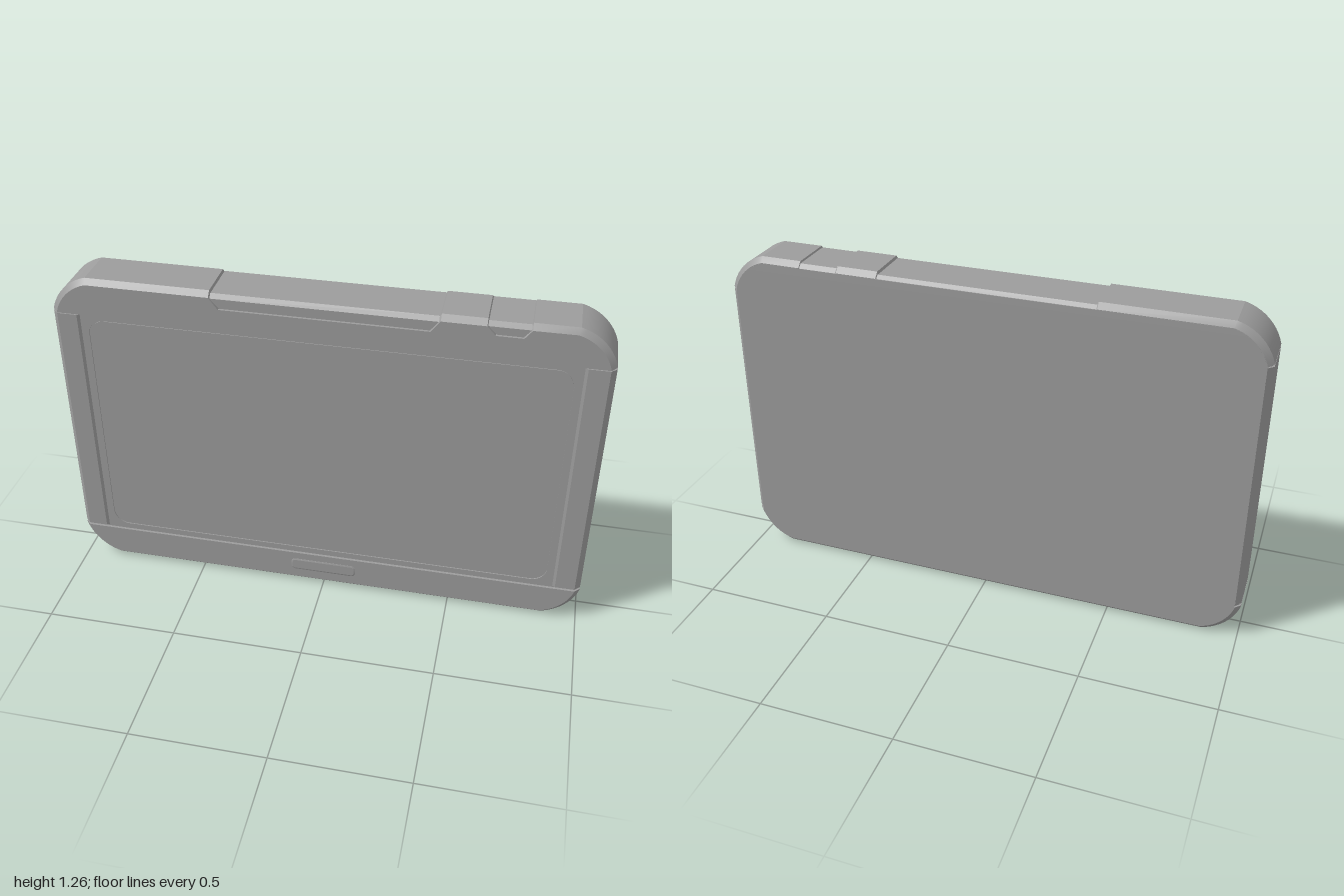
import * as THREE from 'three';
import { toCreasedNormals } from 'three/addons/utils/BufferGeometryUtils.js';

const TOP = 1.263, SEAM_LOW = 0.14, SEAM_HIGH = 1.13, DEPTH = 0.104, CHAMFER = 0.02;

// points of an arc, counter-clockwise between two angles in degrees
function arc(cx, cy, r, from, to, n = 10) {
  return Array.from({ length: n + 1 }, (_, i) => {
    const t = THREE.MathUtils.degToRad(from + (to - from) * i / n);
    return [cx + r * Math.cos(t), cy + r * Math.sin(t)];
  });
}

function roundRect(x0, x1, y0, y1, r) {
  return [...arc(x1 - r, y1 - r, r, 0, 90), ...arc(x0 + r, y1 - r, r, 90, 180),
    ...arc(x0 + r, y0 + r, r, 180, 270), ...arc(x1 - r, y0 + r, r, 270, 360)];
}

// flattened outer corner of the casing, quadrant 0 to 3, moved inwards by d
function corner(quadrant, d) {
  const r = 0.191, c = 0.1845;
  const x = quadrant === 0 || quadrant === 3 ? 1 - c : -1 + c;
  const y = quadrant < 2 ? TOP - c : c;
  return arc(x, y, r - d, quadrant * 90 + 15, quadrant * 90 + 75);
}

// solid through rings [z, inset]; outline(inset) gives counter-clockwise points
function loft(outline, rings) {
  const loops = rings.map(([z, d]) => outline(d).map(([x, y]) => new THREE.Vector3(x, y, z)));
  const pos = [];
  const tri = (...pts) => pts.forEach(p => pos.push(p.x, p.y, p.z));
  for (let i = 0; i < loops.length - 1; i++) {
    const lo = loops[i], hi = loops[i + 1];
    lo.forEach((a, j) => {
      const k = (j + 1) % lo.length;
      tri(a, lo[k], hi[k]);
      tri(a, hi[k], hi[j]);
    });
  }
  const first = loops[0], last = loops[loops.length - 1];
  const flat = l => l.map(p => new THREE.Vector2(p.x, p.y));
  for (const [a, b, c] of THREE.ShapeUtils.triangulateShape(flat(first), [])) tri(first[a], first[c], first[b]);
  for (const [a, b, c] of THREE.ShapeUtils.triangulateShape(flat(last), [])) tri(last[a], last[b], last[c]);
  const g = new THREE.BufferGeometry();
  g.setAttribute('position', new THREE.Float32BufferAttribute(pos, 3));
  return toCreasedNormals(g, 0.25);
}

const chamfered = (front, c = CHAMFER) => [[-DEPTH, c], [-DEPTH + c, 0], [front - c, 0], [front, c]];
const vectors = pts => pts.map(([x, y]) => new THREE.Vector2(x, y));

// sweep a mirrored plan profile of (x, z) points upwards from y0 to y1
function sweep(half, y0, y1) {
  const plan = [...half, ...half.map(([x, z]) => [-x, z]).reverse()];
  const g = new THREE.ExtrudeGeometry(new THREE.Shape(vectors(plan.map(([x, z]) => [x, -z]))),
    { depth: y1 - y0, bevelEnabled: false });
  return g.rotateX(-Math.PI / 2).translate(0, y0, 0);
}

// trapezoid notches in the top edge: upper x range, lower x range, floor, insert top
const notches = [
  { name: 'smallTopInsert', x0: 0.56, x1: 0.71, b0: 0.59, b1: 0.685, floor: 1.21, top: 1.257 },
  { name: 'wideTopInsert', x0: -0.405, x1: 0.405, b0: -0.372, b1: 0.372, floor: 1.2, top: 1.254 },
];

const topCap = d => [
  [-1 + d, SEAM_HIGH], [1 - d, SEAM_HIGH],
  ...corner(0, d),
  ...notches.flatMap(n => [[n.x1, TOP - d], [n.b1, n.floor], [n.b0, n.floor], [n.x0, TOP - d]]),
  ...corner(1, d),
];

const bottomCap = d => [
  [1 - d, SEAM_LOW], [-1 + d, SEAM_LOW], ...corner(2, d), ...corner(3, d),
];

export function createModel() {
  const model = new THREE.Group();
  const material = new THREE.MeshStandardMaterial({ color: 0x9c9c9c });
  const add = (name, geometry) => {
    const mesh = new THREE.Mesh(geometry, material);
    mesh.name = name;
    model.add(mesh);
  };

  // inner slab forming the continuous back
  add('backPlate', loft(d => [0, 1, 2, 3].flatMap(q => corner(q, d)),
    [[-DEPTH - 0.0005, 0.022], [0.083, 0.022]]));

  // end caps
  add('topCap', loft(topCap, chamfered(DEPTH)));
  add('bottomCap', loft(bottomCap, chamfered(DEPTH)));

  // lower inserts filling the notches of the top cap, with a fine gap around them
  const gap = 0.003;
  for (const n of notches) {
    add(n.name, loft(d => [[n.b0 + gap, n.floor + gap], [n.b1 - gap, n.floor + gap],
      [n.x1 - gap, n.top - d], [n.x0 + gap, n.top - d]], chamfered(0.1, 0.015)));
  }

  // shallow floor of the seams between body and caps
  add('seamFloor', sweep([[0.976, -0.098], [0.994, -0.08], [0.994, 0.08], [0.98, 0.094]], 0.13, 1.14));

  // middle body with raised side rails
  add('sideRailBody', sweep([[1 - CHAMFER, -DEPTH], [1, -DEPTH + CHAMFER], [1, DEPTH - CHAMFER],
    [1 - CHAMFER, DEPTH], [0.906, DEPTH], [0.896, 0.098], [0.896, 0.088]], 0.15, 1.12));

  // bezel around the screen opening
  const bezelShape = new THREE.Shape(vectors([[-0.897, 0.15], [0.897, 0.15], [0.897, 1.12], [-0.897, 1.12]]));
  bezelShape.holes.push(new THREE.Path(vectors(roundRect(-0.868, 0.868, 0.168, 1.104, 0.06))));
  const bezel = new THREE.ExtrudeGeometry(bezelShape, { depth: 0.011, bevelEnabled: false });
  add('screenBezel', toCreasedNormals(bezel.translate(0, 0, 0.087), 0.25));

  // screen, set slightly inside the bezel
  add('screen', loft(() => roundRect(-0.864, 0.864, 0.172, 1.1, 0.056), [[0.086, 0], [0.097, 0]]));

  // button on the bottom cap
  add('frontButton', loft(d => roundRect(-0.13 + d, 0.13 - d, 0.058 + d, 0.11 - d, 0.018 - d),
    [[0.1, 0], [0.105, 0], [0.107, 0.006]]));

  return model;
}
